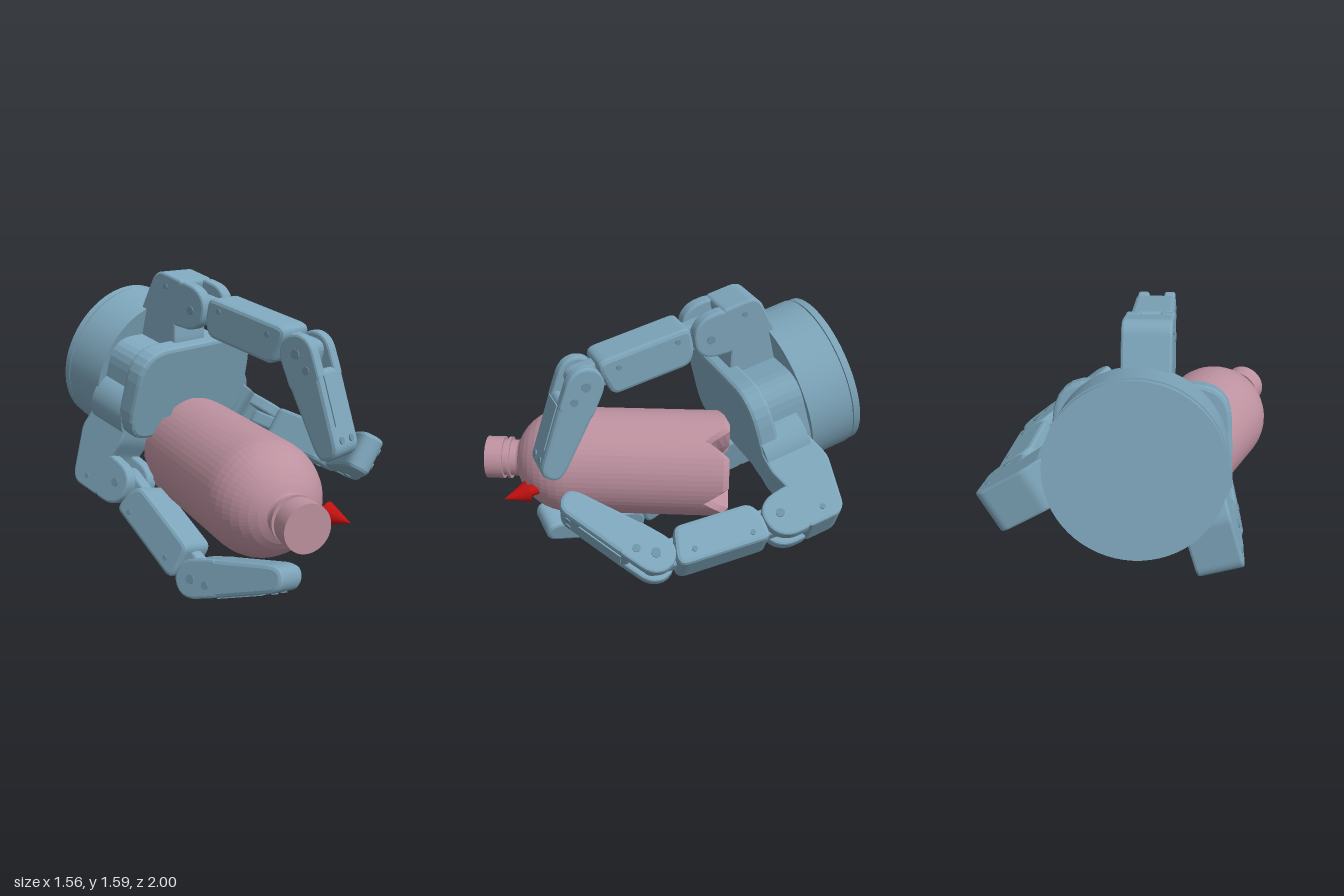
import * as THREE from 'three';

const V = (x, y, z) => new THREE.Vector3(x, y, z);
const blue = new THREE.MeshStandardMaterial({ color: 0x7da5ba });
const dark = new THREE.MeshStandardMaterial({ color: 0x6d92a6 });
const pink = new THREE.MeshStandardMaterial({ color: 0xbd919f, flatShading: true });
const red = new THREE.MeshStandardMaterial({ color: 0xc01010 });

// Palm frame: back centre of the wrist disc, with right, up and forward axes
const origin = V(-0.39, 1.08, -0.81);
const forward = V(0.394, -0.256, 0.883).normalize();
const right = V(0.914, 0, -0.408).normalize();
const up = forward.clone().cross(right).normalize();

function add(parent, name, geo, mat, x = 0, y = 0, z = 0) {
  const m = new THREE.Mesh(geo, mat);
  m.name = name;
  m.position.set(x, y, z);
  parent.add(m);
  return m;
}

function frame(parent, name, x, y, pos) {
  const g = new THREE.Group();
  g.name = name;
  g.applyMatrix4(new THREE.Matrix4().makeBasis(x, y, x.clone().cross(y)).setPosition(pos));
  parent.add(g);
  return g;
}

// Polygon with rounded corners
function rounded(pts, r) {
  const s = new THREE.Shape();
  const p = pts.map(([x, y]) => new THREE.Vector2(x, y));
  p.forEach((c, i) => {
    const toward = (q) => {
      const d = q.clone().sub(c);
      return c.clone().add(d.setLength(Math.min(r, d.length() * 0.48)));
    };
    const a = toward(p[(i + p.length - 1) % p.length]);
    const b = toward(p[(i + 1) % p.length]);
    if (i) s.lineTo(a.x, a.y); else s.moveTo(a.x, a.y);
    s.quadraticCurveTo(c.x, c.y, b.x, b.y);
  });
  s.closePath();
  return s;
}

// Bevelled prism, centred on z
function prism(pts, r, width, bevel = 0.012) {
  const g = new THREE.ExtrudeGeometry(rounded(pts, r), {
    depth: width - 2 * bevel, bevelThickness: bevel, bevelSize: bevel,
    bevelOffset: -bevel, bevelSegments: 2, curveSegments: 6,
  });
  return g.translate(0, 0, -width / 2 + bevel);
}

const pin = (r, w) => new THREE.CylinderGeometry(r, r, w, 24).rotateX(Math.PI / 2);

function buildPalm(root) {
  const palm = frame(root, 'palm', right, up, origin);
  // Wrist disc with a groove near its back face
  for (const [name, r, z0, z1] of [['wristCap', 0.405, 0, 0.035], ['wristGroove', 0.392, 0.03, 0.05], ['wristDisc', 0.41, 0.045, 0.28]]) {
    add(palm, name, new THREE.CylinderGeometry(r, r, z1 - z0, 64).rotateX(Math.PI / 2), blue, 0, 0, (z0 + z1) / 2);
  }
  // Wide rounded palm plate on a smaller hub
  const outline = [[-0.41, 0.285], [0.42, 0.285], [0.46, -0.22], [-0.44, -0.22]];
  add(palm, 'palmHub', prism(outline.map(([x, y]) => [x * 0.85, y * 0.85]), 0.13, 0.26), blue, 0, 0, 0.38);
  add(palm, 'palmPlate', prism(outline, 0.17, 0.11, 0.02), blue, 0, 0, 0.53);
}

function buildFinger(root, name, knuckle, joint, tip) {
  const finger = new THREE.Group();
  finger.name = name;
  root.add(finger);
  const d1 = joint.clone().sub(knuckle);
  const len = d1.length();
  d1.normalize();
  const d2 = tip.clone().sub(joint).normalize();
  const hinge = d1.clone().cross(d2).normalize();
  const outOf = (d) => d.clone().cross(hinge).normalize();
  const W = 0.21;
  const ring = (r) => Array.from({ length: 12 }, (_, i) => [r * Math.cos(i * Math.PI / 6), r * Math.sin(i * Math.PI / 6)]);

  // Knuckle block on a round pivot, with two cheeks around the hinge
  const base = frame(finger, 'knuckle', forward, outOf(forward), knuckle);
  add(base, 'knuckleBlock', prism([[-0.28, -0.48], [-0.36, -0.17], [-0.3, 0.09], [-0.26, 0.125],
    [-0.09, 0.125], [-0.09, -0.1], [-0.06, -0.2], [-0.06, -0.48]], 0.03, W + 0.02), blue);
  add(base, 'spreadPivot', new THREE.CylinderGeometry(0.17, 0.17, 0.24, 40).rotateZ(Math.PI / 2), blue, -0.19, -0.38, 0);
  for (const s of [-1, 1]) {
    add(base, 'knuckleCheek', prism([[-0.12, 0.125], [0.01, 0.125], [0.08, 0.07], [0.09, -0.04], [0.03, -0.1], [-0.12, -0.12]], 0.05, 0.07), blue, 0, 0, s * 0.08);
    add(base, 'knucklePin', pin(0.022, 0.01), dark, 0, 0, s * 0.115);
    add(base, 'sideScrew', pin(0.014, 0.01), dark, -0.2, 0.06, s * 0.115);
  }

  // Proximal link: full-width body with a narrow tongue at each end
  const prox = frame(finger, 'proximalLink', d1, outOf(d1), knuckle);
  add(prox, 'proximalBody', prism([[0.09, 0.1], [len - 0.1, 0.1], [len - 0.08, 0.06], [len - 0.12, -0.1], [0.13, -0.1], [0.09, -0.03]], 0.04, W, 0.02), blue);
  add(prox, 'proximalTongue', prism([[-0.07, 0.07], [len + 0.07, 0.07], [len + 0.07, -0.07], [-0.07, -0.07]], 0.06, 0.08), blue);
  for (const s of [-1, 1]) {
    for (const [x, y] of [[0.17, 0.05], [len - 0.18, 0.04]]) add(prox, 'sideScrew', pin(0.014, 0.01), dark, x, y, s * W / 2);
  }

  // Distal link: forked round end, tapered body, outer panel and screws
  const dist = frame(finger, 'distalLink', d2, outOf(d2), joint);
  for (const s of [-1, 1]) {
    add(dist, 'distalFork', prism([...ring(0.1).slice(3, 10), [0.16, -0.098], [0.16, 0.089]], 0.03, 0.06), blue, 0, 0, s * 0.07);
    add(dist, 'jointPin', pin(0.024, 0.01), dark, 0, 0, s * 0.1);
    add(dist, 'sideScrew', pin(0.02, 0.01), dark, 0.09, 0.03, s * 0.1);
    add(dist, 'tipScrew', new THREE.CylinderGeometry(0.018, 0.018, 0.012, 16), dark, 0.455, 0.062, s * 0.04).rotation.z = -0.1;
  }
  add(dist, 'distalBody', prism([[0.1, 0.094], [0.5, 0.058], [0.535, 0.01], [0.53, -0.05], [0.48, -0.075], [0.1, -0.1]], 0.04, 0.2, 0.02), blue);
  add(dist, 'distalPanel', new THREE.BoxGeometry(0.25, 0.012, 0.13), blue, 0.26, 0.08, 0).rotation.z = -0.09;
}

function buildBottle(root) {
  const bottle = new THREE.Group();
  bottle.name = 'bottle';
  bottle.position.set(-0.155, 0.605, 0);
  root.add(bottle);
  // Body and dome, then neck, collar and cap
  const pts = [[0, -0.27], [0.07, -0.29], [0.15, -0.33], [0.26, -0.33], [0.29, -0.3], [0.29, -0.19], [0.29, 0.54]];
  for (let i = 1; i <= 8; i++) {
    const a = i / 8 * 1.2;
    pts.push([0.29 * Math.cos(a), 0.54 + 0.3 * Math.sin(a)]);
  }
  pts.push([0.1, 0.83], [0.1, 0.865], [0.116, 0.865], [0.116, 0.88], [0.1, 0.88], [0.1, 0.905], [0.116, 0.905], [0.116, 1], [0, 1]);
  const geo = new THREE.LatheGeometry(pts.map(([r, y]) => new THREE.Vector2(r, y)), 60).rotateX(Math.PI / 2);
  // Five radial grooves pressed into the base
  const p = geo.attributes.position;
  const step = Math.PI * 2 / 5;
  for (let i = 0; i < p.count; i++) {
    const x = p.getX(i), y = p.getY(i), z = p.getZ(i);
    if (z > -0.25 || Math.hypot(x, y) < 0.01) continue;
    const a = Math.atan2(y, x) + Math.PI / 2;
    const off = Math.abs(a - Math.round(a / step) * step);
    p.setZ(i, z + 0.1 * Math.max(0, 1 - off / 0.3));
  }
  geo.computeVertexNormals();
  add(bottle, 'bottleBody', geo, pink);
}

// Red arrow standing out of the bottle's shoulder
function buildArrow(root) {
  const arrow = new THREE.Group();
  arrow.name = 'arrow';
  arrow.position.set(0.09, 0.545, 0.74);
  arrow.quaternion.setFromUnitVectors(V(0, 1, 0), V(0.06, -0.015, 0.12).normalize());
  add(arrow, 'arrowHead', new THREE.ConeGeometry(0.06, 0.135, 24), red, 0, 0.067, 0);
  add(arrow, 'arrowShaft', new THREE.CylinderGeometry(0.032, 0.032, 0.08, 16), red, 0, -0.02, 0);
  root.add(arrow);
}

export function createModel() {
  const root = new THREE.Group();
  root.name = 'gripperWithBottle';
  buildPalm(root);
  buildFinger(root, 'upperFinger', V(-0.13, 1.4, -0.17), V(0.15, 1.255, 0.42), V(0.23, 0.805, 0.6));
  buildFinger(root, 'rightFinger', V(-0.545, 0.48, -0.26), V(-0.355, 0.115, 0.28), V(-0.05, 0.24, 0.75));
  buildFinger(root, 'leftFinger', V(0.41, 0.63, -0.57), V(0.645, 0.545, 0.025), V(0.465, 0.72, 0.49));
  buildBottle(root);
  buildArrow(root);
  return root;
}
